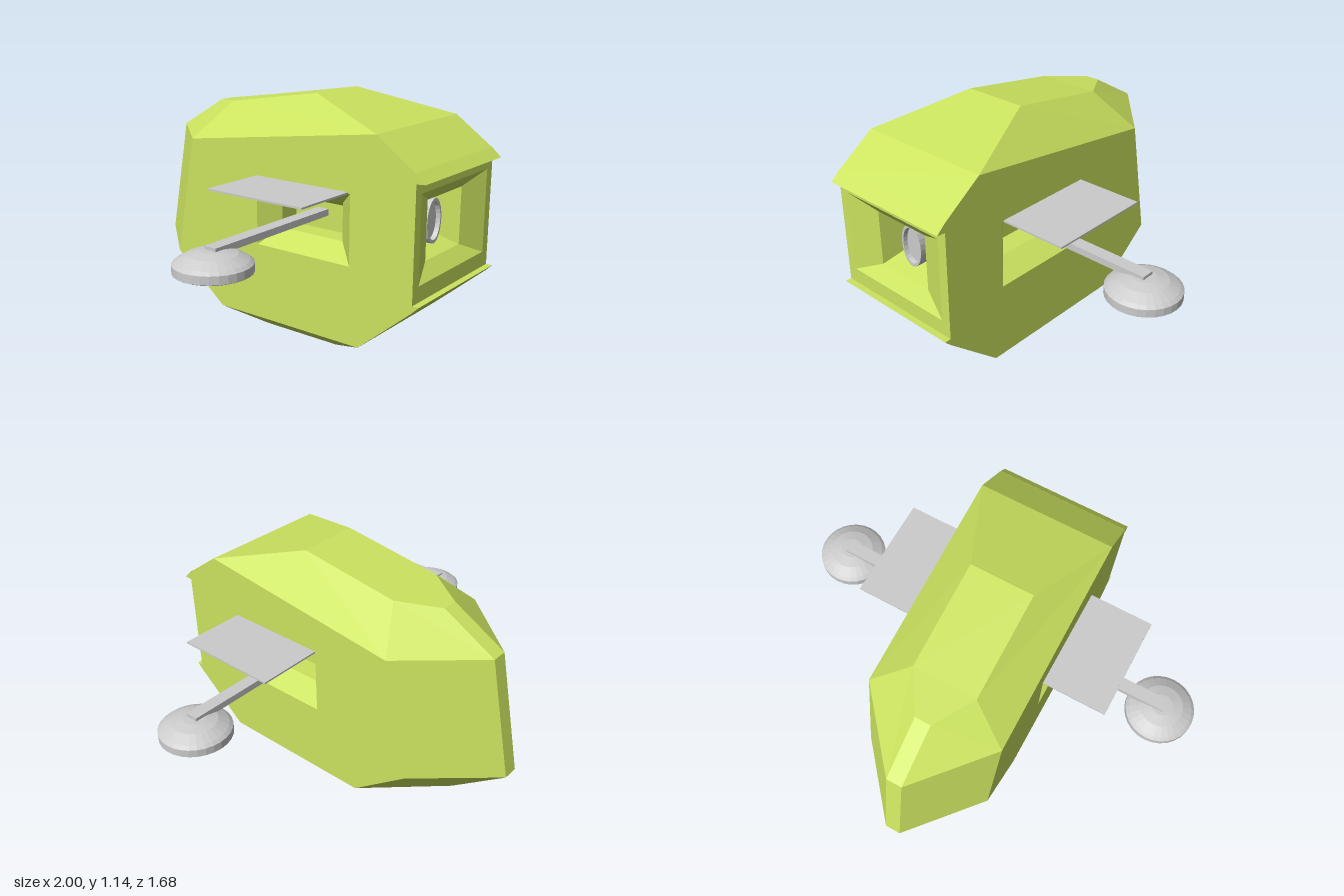
import * as THREE from 'three';
import { mergeGeometries } from 'three/addons/utils/BufferGeometryUtils.js';

const green = new THREE.MeshStandardMaterial({ color: 0xcbe35f, flatShading: true, side: THREE.DoubleSide });
const grey = new THREE.MeshStandardMaterial({ color: 0xcccccc, flatShading: true, side: THREE.DoubleSide });

// Flat-sided polygons (fans of triangles); optional centre turns each one outward
function facets(polys, centre) {
  const pos = [];
  for (const poly of polys) {
    const p = poly.map((c) => new THREE.Vector3(...c));
    const n = p[1].clone().sub(p[0]).cross(p[2].clone().sub(p[0]));
    if (centre && n.dot(p[0].clone().sub(centre)) < 0) p.reverse();
    for (let i = 1; i < p.length - 1; i++) {
      for (const v of [p[0], p[i], p[i + 1]]) pos.push(v.x, v.y, v.z);
    }
  }
  const g = new THREE.BufferGeometry();
  g.setAttribute('position', new THREE.Float32BufferAttribute(pos, 3));
  g.computeVertexNormals();
  return g;
}

// Corners of a rectangle [u0, u1, v0, v1, depth], counter-clockwise
const rect = ([u0, u1, v0, v1, d]) => [[u0, v0, -d], [u1, v0, -d], [u1, v1, -d], [u0, v1, -d]];

// Flat panel facing +z with a stepped, closed recess
function recessedPanel(outline, frames) {
  const shape = new THREE.Shape(outline.map(([u, v]) => new THREE.Vector2(u, v)));
  shape.holes.push(new THREE.Path(rect(frames[0]).map(([u, v]) => new THREE.Vector2(u, v))));
  const face = new THREE.ShapeGeometry(shape).toNonIndexed();
  face.deleteAttribute('uv');
  const polys = [];
  for (let f = 0; f < frames.length - 1; f++) {
    const a = rect(frames[f]), b = rect(frames[f + 1]);
    for (let i = 0; i < 4; i++) {
      const j = (i + 1) % 4;
      polys.push([a[i], a[j], b[j], b[i]]);
    }
  }
  polys.push(rect(frames[frames.length - 1]));
  return mergeGeometries([face, facets(polys)]);
}

export function createModel() {
  const model = new THREE.Group();
  const add = (name, geometry, material, parent = model) => {
    const mesh = new THREE.Mesh(geometry, material);
    mesh.name = name;
    parent.add(mesh);
    return mesh;
  };

  // Hull: side outline, flat top and bottom edges, and narrow rear ridge as [z, y]
  const W = 0.325, F = 0.15, R = 0.037;
  const side = [[0.805, 0.34], [0.55, 0.12], [-0.225, 0.12], [-0.505, 0.34], [-0.39, 0.905], [0.62, 1.037], [0.805, 0.905]];
  const flat = [[0.315, 0.005], [-0.09, 0.005], [-0.29, 1.07], [0.2, 1.145]];
  const ridge = [[-0.235, 0.005], [-0.57, 0.135], [-0.84, 0.34], [-0.725, 0.905], [-0.47, 1.05]];
  const S = (i, s = 1) => [s * W, side[i][1], side[i][0]];
  const T = (i, s = 1) => [s * F, flat[i][1], flat[i][0]];
  const B = (i, s = 1) => [s * R, ridge[i][1], ridge[i][0]];
  const polys = [];
  for (const s of [1, -1]) {
    polys.push(
      [S(1, s), S(2, s), T(1, s), T(0, s)],
      [S(2, s), B(1, s), B(0, s), T(1, s)],
      [S(2, s), S(3, s), B(2, s), B(1, s)],
      [S(3, s), S(4, s), B(3, s), B(2, s)],
      [S(4, s), T(2, s), B(4, s), B(3, s)],
      [S(5, s), T(3, s), T(2, s), S(4, s)]);
  }
  // Faces that span the middle
  const span = (a, b) => polys.push([a(1), a(-1), b(-1), b(1)]);
  const at = (fn, i) => (s) => fn(i, s);
  span(at(S, 0), at(S, 1));
  span(at(S, 1), at(T, 0));
  span(at(T, 0), at(T, 1));
  span(at(T, 1), at(B, 0));
  for (let i = 0; i < 4; i++) span(at(B, i), at(B, i + 1));
  span(at(B, 4), at(T, 2));
  span(at(T, 2), at(T, 3));
  span(at(T, 3), at(S, 5));
  span(at(S, 5), at(S, 6));
  add('hull', facets(polys, new THREE.Vector3(0, 0.57, 0)), green);

  // Front panel with stepped window
  const front = recessedPanel([[-W, 0.34], [W, 0.34], [W, 0.905], [-W, 0.905]], [
    [-0.28, 0.28, 0.44, 0.82, 0], [-0.145, 0.145, 0.5, 0.76, 0.05], [-0.11, 0.11, 0.55, 0.71, 0.19]]);
  add('frontPanel', front, green).position.z = 0.805;

  // Lips above and below the window
  const lips = {
    upperLip: [[0.8, 0.91], [0.845, 0.868], [0.8, 0.865]],
    lowerLip: [[0.8, 0.37], [0.835, 0.37], [0.805, 0.34]],
  };
  for (const [name, pts] of Object.entries(lips)) {
    const shape = new THREE.Shape(pts.map(([z, y]) => new THREE.Vector2(-z, y)));
    const g = new THREE.ExtrudeGeometry(shape, { depth: 2 * W, bevelEnabled: false });
    add(name, g.translate(0, 0, -W).rotateY(Math.PI / 2), green);
  }

  // Oval lens with a raised rim
  const lensProfile = [[0, 0.08], [0.08, 0.08], [0.085, 0.1], [0.1, 0.1], [0.1, 0]];
  const lens = new THREE.LatheGeometry(lensProfile.map((p) => new THREE.Vector2(...p)), 24);
  lens.rotateX(Math.PI / 2).scale(0.6, 1, 1);
  add('lens', lens, grey).position.set(0, 0.63, 0.61);

  // Belly plate
  add('bellyPlate', new THREE.BoxGeometry(0.18, 0.008, 0.31), grey).position.set(0, 0.004, 0.16);

  // Side panels, hatch flaps, arms and dished pads
  const padProfile = [[0, 0.575], [0.05, 0.575], [0.15, 0.53], [0.16, 0.535], [0.16, 0.57], [0.145, 0.583],
    [0.1, 0.608], [0.05, 0.62], [0, 0.622]];
  for (const s of [1, -1]) {
    const word = s > 0 ? 'left' : 'right';
    const frame = (z0, z1, y0, y1, d) => (s > 0 ? [-z1, -z0, y0, y1, d] : [z0, z1, y0, y1, d]);
    const panel = recessedPanel(side.map(([z, y]) => [-s * z, y]), [
      frame(0, 0.5, 0.47, 0.78, 0), frame(0.065, 0.395, 0.535, 0.705, 0.1), frame(0.065, 0.395, 0.535, 0.66, 0.2)]);
    add(word + 'SidePanel', panel.rotateY(s * Math.PI / 2), green).position.x = s * W;

    add(word + 'Flap', new THREE.BoxGeometry(0.31, 0.008, 0.49), grey).position.set(s * 0.475, 0.782, 0.245);
    add(word + 'Arm', new THREE.BoxGeometry(0.72, 0.03, 0.06), grey).position.set(s * 0.495, 0.62, 0.225);
    const pad = new THREE.LatheGeometry(padProfile.map((p) => new THREE.Vector2(...p)), 28);
    add(word + 'Pad', pad, grey).position.set(s * 0.84, 0, 0.225);
  }
  return model;
}
